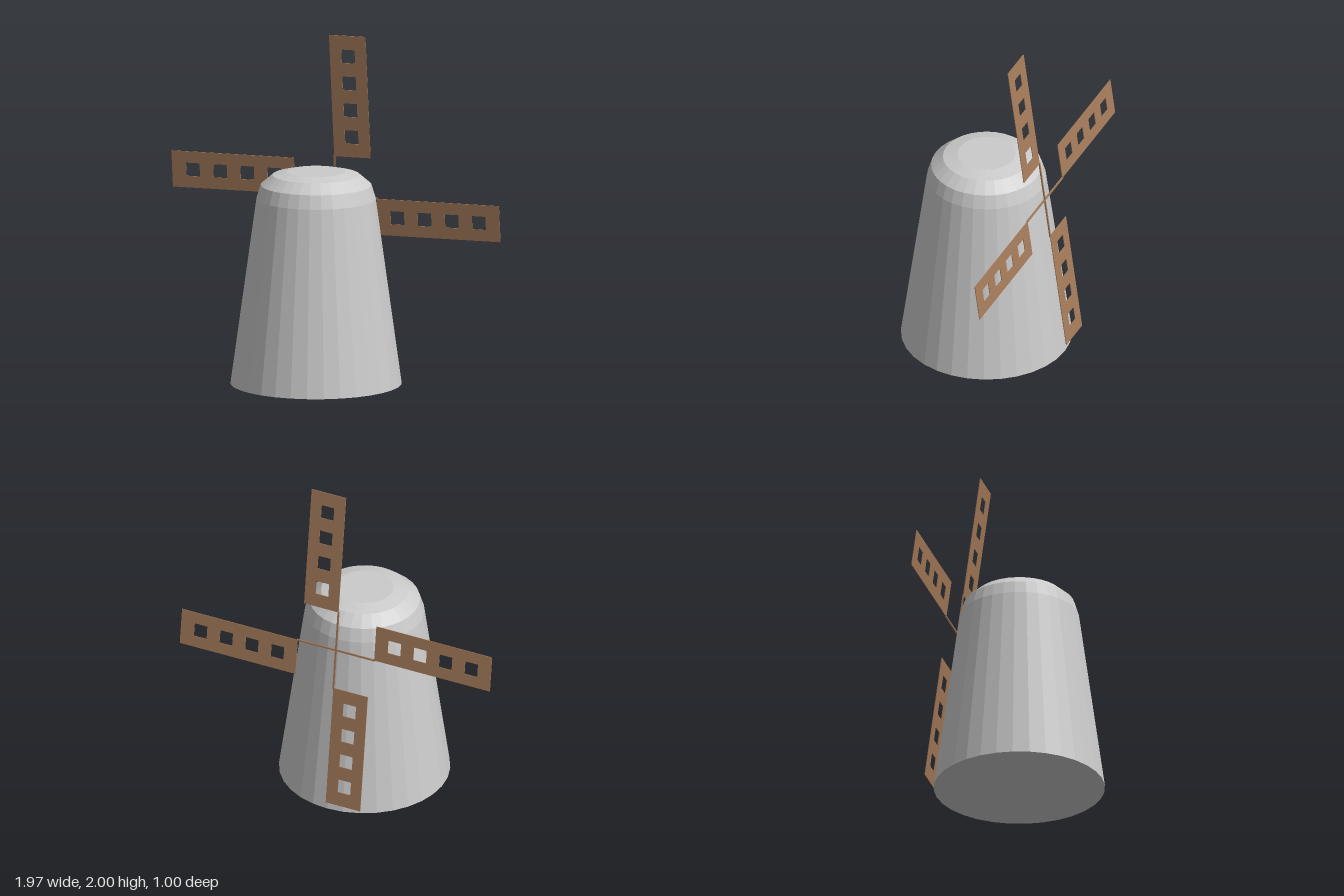
import * as THREE from 'three';

const TILT = 0.138;      // rotor leans with the tower wall
const REACH = 0.985;     // hub to blade tip
const THICK = 0.004;

const stone = new THREE.MeshStandardMaterial({ color: 0xcccccc, flatShading: true });
const wood = new THREE.MeshStandardMaterial({ color: 0xa67c5b, flatShading: true });

function rectangle(path, x0, y0, x1, y1) {
  path.moveTo(x0, y0);
  path.lineTo(x1, y0);
  path.lineTo(x1, y1);
  path.lineTo(x0, y1);
  path.closePath();
  return path;
}

// Tapered tower with a rounded shoulder and flat cap, closed underneath
function createTower() {
  const profile = [
    [0, 0], [0.495, 0], [0.345, 1.085], [0.32, 1.165],
    [0.252, 1.223], [0.168, 1.243], [0, 1.243],
  ].map(([r, y]) => new THREE.Vector2(r, y));
  const tower = new THREE.Mesh(new THREE.LatheGeometry(profile, 32), stone);
  tower.name = 'tower';
  tower.position.set(-0.005, 0, 0.005);
  return tower;
}

// Flat sail with four square openings, offset to one side of its arm
function createSailGeometry() {
  const shape = rectangle(new THREE.Shape(), 0, 0.245, 0.22, REACH);
  for (let i = 0; i < 4; i++) {
    const y = 0.367 + i * 0.164;
    shape.holes.push(rectangle(new THREE.Path(), 0.07, y - 0.041, 0.151, y + 0.041));
  }
  const geometry = new THREE.ExtrudeGeometry(shape, { depth: THICK, bevelEnabled: false });
  return geometry.translate(0, 0, -THICK / 2);
}

// Four sails on thin arms, turning around the hub
function createRotor() {
  const rotor = new THREE.Group();
  rotor.name = 'rotor';
  const sailGeometry = createSailGeometry();
  const armGeometry = new THREE.BoxGeometry(0.01, 0.25, 0.008).translate(0, 0.125, 0);
  for (let i = 0; i < 4; i++) {
    const blade = new THREE.Group();
    blade.name = `blade${i + 1}`;
    const sail = new THREE.Mesh(sailGeometry, wood);
    sail.name = 'sail';
    const arm = new THREE.Mesh(armGeometry, wood);
    arm.name = 'arm';
    blade.add(sail, arm);
    blade.rotation.z = -i * Math.PI / 2;
    rotor.add(blade);
  }
  rotor.position.set(0, 1.026, -0.366);
  rotor.rotation.x = TILT;
  return rotor;
}

export function createModel() {
  const model = new THREE.Group();
  model.name = 'windmill';
  model.add(createTower(), createRotor());
  return model;
}
